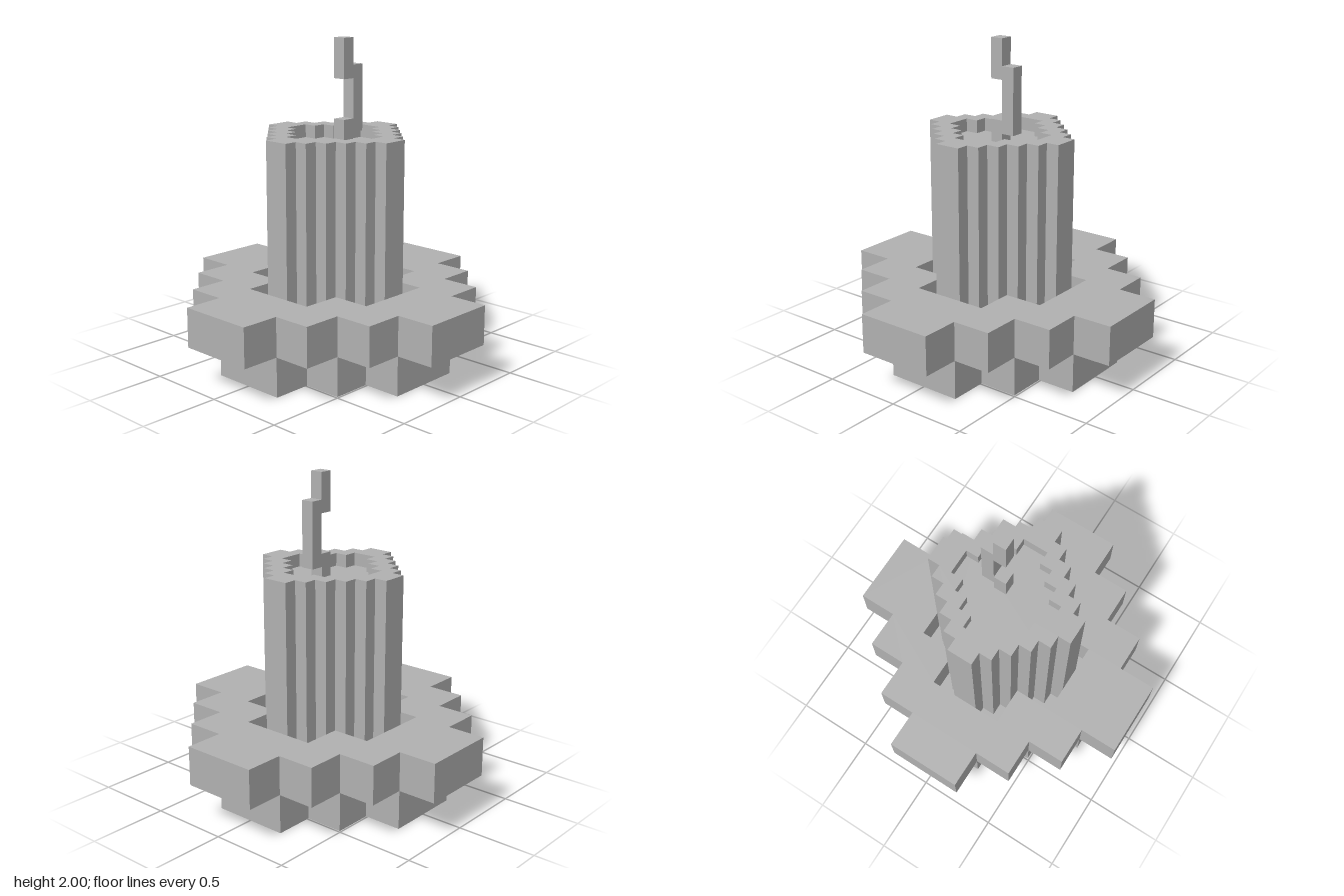
import * as THREE from 'three';

const U = 2 / 24.5; // small grid cell
const C = 3 * U;    // large grid cell

// Stepped diamond outline, n cells from centre to tip
function diamond(n, cell) {
  const quarter = [];
  for (let i = 1; i <= n; i++) {
    quarter.push([n - i + 1, i]);
    if (i < n) quarter.push([n - i, i]);
  }
  const points = [];
  for (let q = 0; q < 4; q++) {
    for (const p of quarter) {
      points.push(new THREE.Vector2(p[0] * cell, p[1] * cell));
      [p[0], p[1]] = [-p[1], p[0]]; // turn to the next quadrant
    }
  }
  return points;
}

export function createModel() {
  const model = new THREE.Group();
  model.name = 'candleOnHolder';
  const grey = new THREE.MeshStandardMaterial({ color: 0xb0b0b0 });
  grey.name = 'grey';

  const add = (name, geometry, x, y, z) => {
    const mesh = new THREE.Mesh(geometry, grey);
    mesh.name = name;
    mesh.position.set(x, y, z);
    model.add(mesh);
  };

  // Upright stepped slab, optionally with a stepped hole
  const slab = (name, n, cell, bottom, top, holeCells = 0) => {
    const shape = new THREE.Shape(diamond(n, cell));
    if (holeCells) shape.holes.push(new THREE.Path(diamond(holeCells, cell)));
    const geometry = new THREE.ExtrudeGeometry(shape, { depth: top - bottom, bevelEnabled: false });
    geometry.rotateX(-Math.PI / 2);
    add(name, geometry, 0, bottom, 0);
  };

  // Holder: solid foot and a wider dish with a socket
  slab('holderBase', 3, C, 0, C);
  slab('holderDish', 4, C, C, 2 * C, 2);

  // Candle: solid wax with a raised rim round the melted pool
  slab('candleBody', 6, U, C, 16.5 * U);
  slab('candleRim', 6, U, 16.5 * U, 17.5 * U, 4);

  // Crooked wick: column of cells [name, x, bottom, top]
  const wick = [
    ['wickFoot', 0.5, 16.5, 18.5],
    ['wickStem', 1.5, 17.5, 22.5],
    ['wickTip', 0.5, 21.5, 24.5],
  ];
  for (const [name, x, bottom, top] of wick) {
    add(name, new THREE.BoxGeometry(U, (top - bottom) * U, U), x * U, (bottom + top) / 2 * U, 0.5 * U);
  }
  return model;
}
